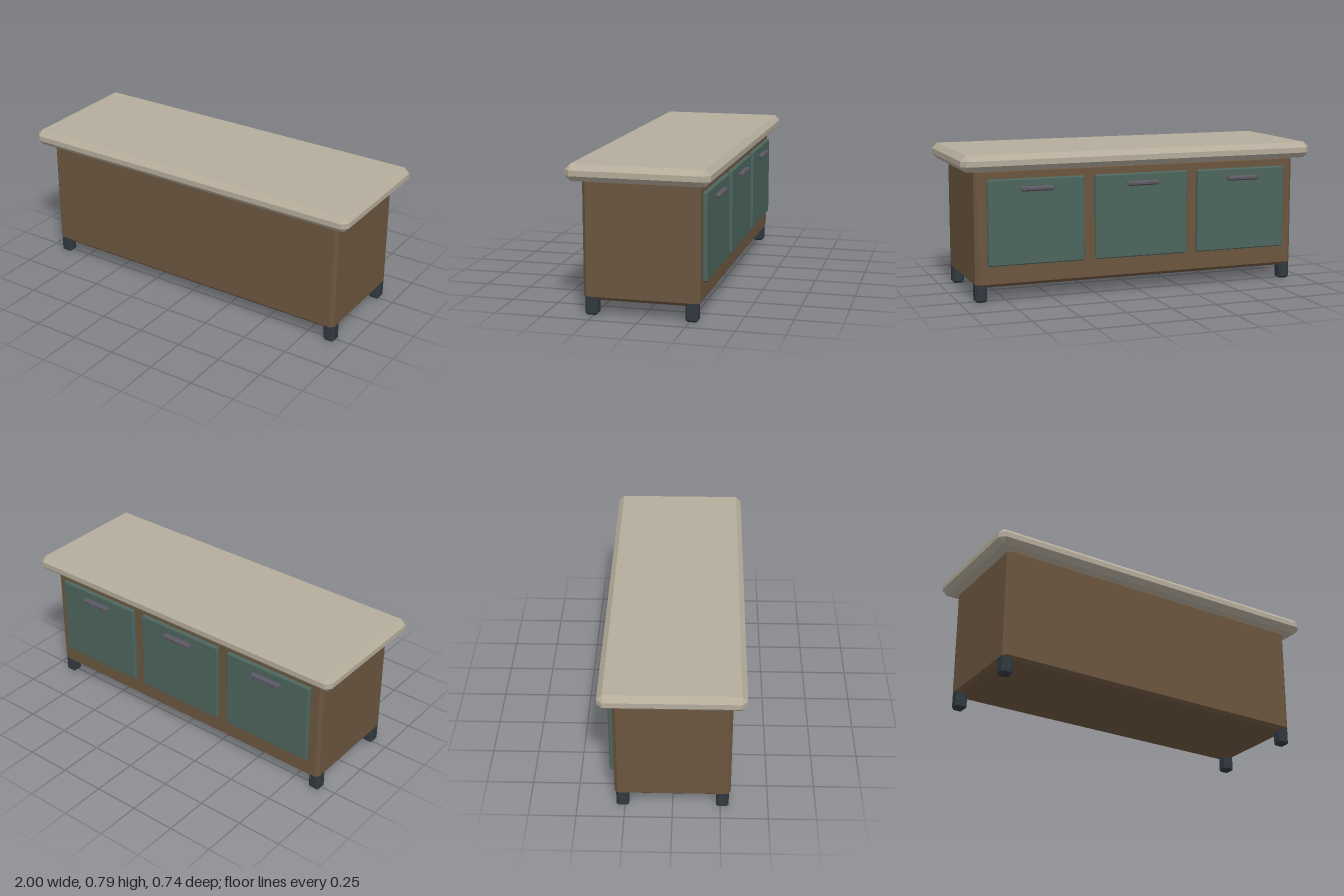
import * as THREE from 'three';
import { ConvexGeometry } from 'three/addons/geometries/ConvexGeometry.js';

const material = (color) => new THREE.MeshStandardMaterial({ color, flatShading: true });
const wood = material(0x6b563f);
const stone = material(0xb5ac9b);
const paint = material(0x4d655d);
const dark = material(0x30383f);
const metal = material(0x5c5864);

// Box with every edge and corner bevelled, centred on its own origin
function bevelledBox(w, h, d, c) {
  const points = [];
  for (const sx of [-1, 1]) for (const sy of [-1, 1]) for (const sz of [-1, 1]) {
    // one point on each of the three faces that meet at this corner
    for (let axis = 0; axis < 3; axis++) {
      const inset = [c, c, c];
      inset[axis] = 0;
      points.push(new THREE.Vector3(
        sx * (w / 2 - inset[0]), sy * (h / 2 - inset[1]), sz * (d / 2 - inset[2])));
    }
  }
  return new ConvexGeometry(points);
}

function addPart(group, name, geometry, mat, x, y, z) {
  const mesh = new THREE.Mesh(geometry, mat);
  mesh.name = name;
  mesh.position.set(x, y, z);
  group.add(mesh);
}

export function createModel() {
  const group = new THREE.Group();
  group.name = 'counter';

  // Cabinet and overhanging worktop
  addPart(group, 'cabinetBody', bevelledBox(1.842, 0.628, 0.606, 0.018), wood, 0, 0.394, 0);
  addPart(group, 'worktop', bevelledBox(2, 0.087, 0.74, 0.029), stone, 0, 0.7425, 0);

  // Four feet
  const foot = bevelledBox(0.064, 0.108, 0.066, 0.011);
  for (const [side, x] of [['Left', 0.889], ['Right', -0.889]])
    for (const [end, z] of [['front', 0.261], ['back', -0.261]])
      addPart(group, `${end}${side}Foot`, foot, dark, x, 0.054, z);

  // Three doors on the back, each with a bar handle
  const door = bevelledBox(0.53, 0.457, 0.026, 0.006);
  const handle = bevelledBox(0.18, 0.025, 0.03, 0.007);
  for (let i = -1; i <= 1; i++) {
    addPart(group, 'door', door, paint, i * 0.592, 0.4245, -0.314);
    addPart(group, 'doorHandle', handle, metal, i * 0.592, 0.6005, -0.34);
  }
  return group;
}
